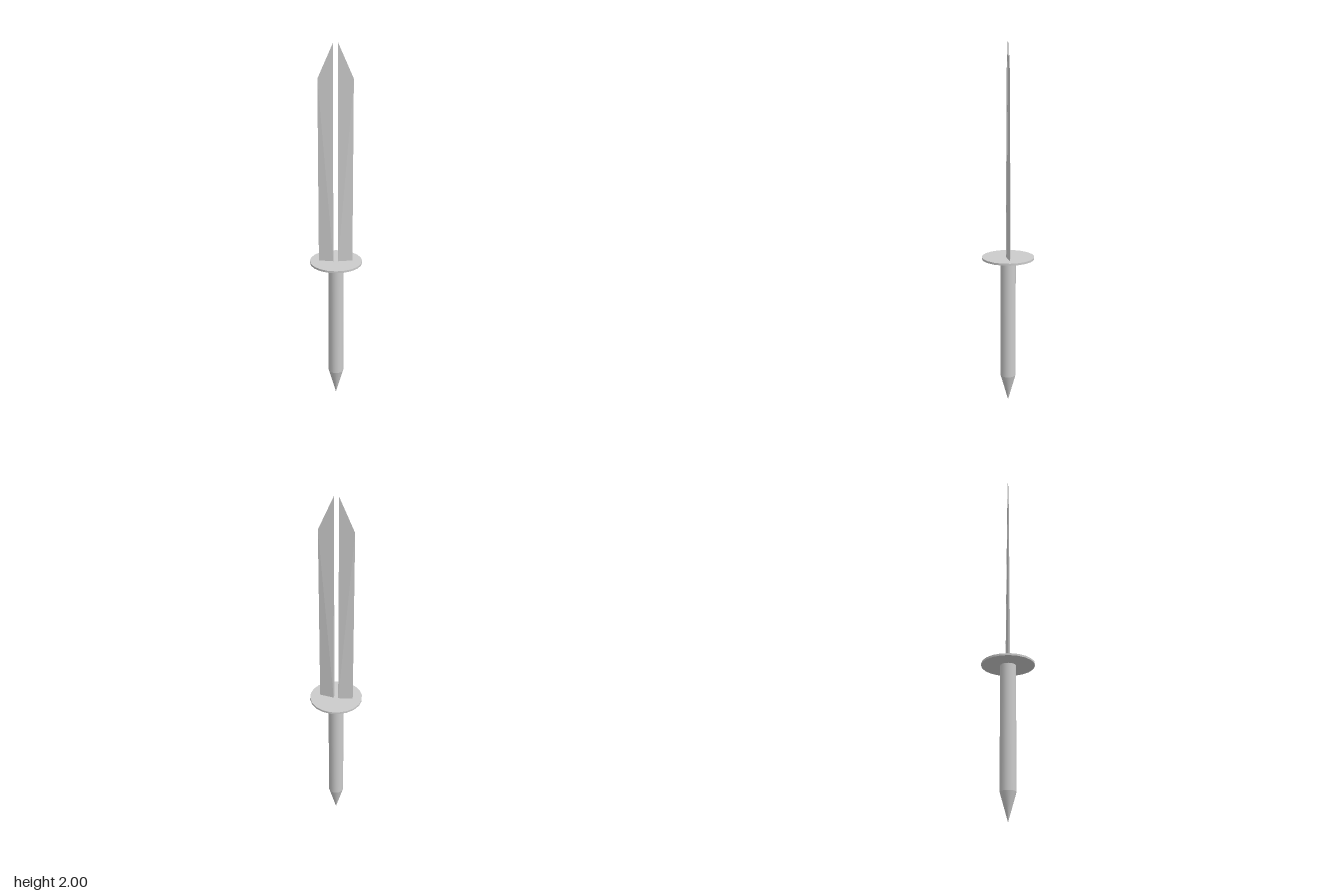
import * as THREE from 'three';

const material = new THREE.MeshStandardMaterial({ color: 0xcccccc });
const bladeMaterial = new THREE.MeshStandardMaterial({
  color: 0xcccccc, flatShading: true, side: THREE.DoubleSide,
});

function add(group, name, geometry, y, mat = material) {
  const mesh = new THREE.Mesh(geometry, mat);
  mesh.name = name;
  mesh.position.y = y;
  group.add(mesh);
  return mesh;
}

// Wedge: thick along the inner edge at the base, thinning to nothing at the tip
function bladeGeometry(side) {
  const inner = 0.0125 * side, outer = 0.091 * side;
  const corners = [
    inner, 0, 0.012, // 0 inner base, front
    inner, 0, -0.012, // 1 inner base, back
    outer, 0, 0, // 2 outer base
    outer, 0.995, 0, // 3 shoulder
    inner, 1.172, 0, // 4 tip
  ];
  const faces = [
    [0, 2, 3], [0, 3, 4], // front
    [1, 3, 2], [1, 4, 3], // back
    [0, 4, 1], // inner face
    [0, 1, 2], // base
  ];
  // The mirrored half needs its winding reversed
  const index = faces.flatMap(([a, b, c]) => (side > 0 ? [a, b, c] : [a, c, b]));
  const geometry = new THREE.BufferGeometry();
  geometry.setAttribute('position', new THREE.Float32BufferAttribute(corners, 3));
  geometry.setIndex(index);
  const flat = geometry.toNonIndexed();
  flat.computeVertexNormals();
  return flat;
}

export function createModel() {
  const model = new THREE.Group();
  model.name = 'splitBladeDagger';

  // Grip with a pointed pommel
  add(model, 'pommelSpike', new THREE.ConeGeometry(0.042, 0.15, 20), 0.075).rotation.x = Math.PI;
  add(model, 'grip', new THREE.CylinderGeometry(0.042, 0.042, 0.675, 20), 0.4875);

  // Thin disc guard
  add(model, 'guard', new THREE.CylinderGeometry(0.142, 0.142, 0.011, 20), 0.8275);

  // Two blade halves with a gap between them
  for (const side of [1, -1]) {
    const name = side > 0 ? 'leftBlade' : 'rightBlade';
    const blade = add(model, name, bladeGeometry(side), 0.828, bladeMaterial);
    blade.position.x = -0.002;
    blade.position.z = -0.001;
  }
  return model;
}
